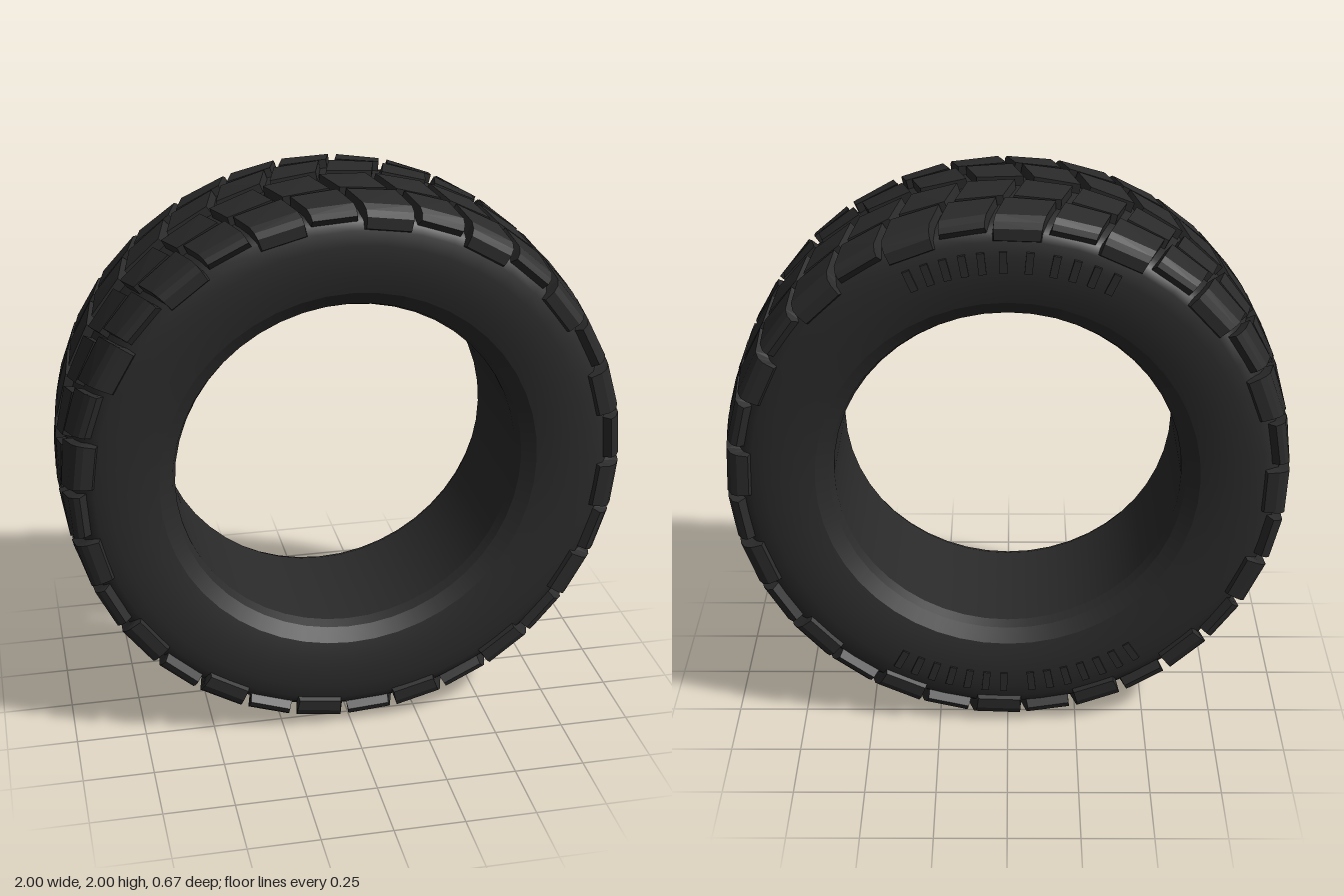
import * as THREE from 'three';
import { mergeGeometries } from 'three/addons/utils/BufferGeometryUtils.js';

const PITCH = (Math.PI * 2) / 32; // 32 tread blocks per row
const SHEAR = 0.27;               // chevron slant of the block edges
const deg = THREE.MathUtils.degToRad;

// One tread block lofted across the width. Each station is [rTop, zTop, rBase, zBase].
function block(stations, angle, width, side) {
  const rings = stations.map(([rt, zt, rb, zb]) => {
    const mid = angle - SHEAR * zt;
    const p = (r, z, a) => [r * Math.cos(a), r * Math.sin(a), z * side];
    const h = width / 2;
    return [
      p(rt, zt, mid - h), p(rt, zt, mid + h),
      p(rb, zb, mid + h + 0.006), p(rb, zb, mid - h - 0.006),
    ];
  });
  const pos = [];
  const tri = (a, b, c) => (side > 0 ? pos.push(...a, ...b, ...c) : pos.push(...a, ...c, ...b));
  const quad = (a, b, c, d) => { tri(a, b, c); tri(a, c, d); };
  for (let i = 0; i < rings.length - 1; i++) {
    for (let j = 0; j < 4; j++) {
      const k = (j + 1) % 4;
      quad(rings[i][j], rings[i][k], rings[i + 1][k], rings[i + 1][j]);
    }
  }
  const s = rings[0], e = rings[rings.length - 1];
  quad(s[3], s[2], s[1], s[0]);
  quad(e[0], e[1], e[2], e[3]);
  const g = new THREE.BufferGeometry();
  g.setAttribute('position', new THREE.Float32BufferAttribute(pos, 3));
  g.computeVertexNormals();
  return g;
}

const CENTRE = [
  [1.0, 0.016, 0.955, 0.016],
  [0.994, 0.165, 0.95, 0.165],
];
const SHOULDER = [
  [0.993, 0.178, 0.95, 0.178],
  [0.978, 0.295, 0.93, 0.28],
  [0.962, 0.318, 0.92, 0.295],
  [0.942, 0.326, 0.915, 0.302],
];
const LUG = [
  [0.993, 0.178, 0.95, 0.178],
  [0.978, 0.297, 0.93, 0.28],
  [0.962, 0.322, 0.92, 0.295],
  [0.94, 0.332, 0.91, 0.302],
  [0.9, 0.333, 0.89, 0.31],
];

export function createModel() {
  const model = new THREE.Group();
  const rubber = new THREE.MeshStandardMaterial({ color: 0x2a2a2a });
  rubber.name = 'black rubber';
  const tyre = new THREE.Group();
  tyre.name = 'tyre';
  tyre.position.y = 1;
  model.add(tyre);

  const add = (geometry, name) => {
    const mesh = new THREE.Mesh(geometry, rubber);
    mesh.name = name;
    tyre.add(mesh);
    return mesh;
  };
  const ring = (points, name) => {
    const g = new THREE.LatheGeometry(points.map(([r, z]) => new THREE.Vector2(r, z)), 48);
    add(g.rotateX(Math.PI / 2), name);
  };

  // Carcass: bulging sidewalls and tread base, running from back bead to front bead
  const half = [
    [0.965, 0.1], [0.96, 0.2], [0.945, 0.27], [0.92, 0.304], [0.89, 0.318],
    [0.84, 0.326], [0.78, 0.327], [0.72, 0.32], [0.67, 0.307],
  ];
  const mirrored = half.map(([r, z]) => [r, -z]).reverse();
  ring([...mirrored, [0.967, 0], ...half], 'carcass');

  // Bead bevels and the open bore
  ring([[0.67, 0.307], [0.622, 0.275]], 'frontBead');
  ring([[0.622, 0.275], [0.608, 0.24]], 'frontBeadLip');
  ring([[0.608, 0.24], [0.608, -0.24]], 'innerBore');
  ring([[0.608, -0.24], [0.622, -0.275]], 'backBeadLip');
  ring([[0.622, -0.275], [0.67, -0.307]], 'backBead');

  // Tread: centre and shoulder rows on each side, every second shoulder block a side lug
  for (const side of [1, -1]) {
    const label = side > 0 ? 'front' : 'back';
    const start = deg(15) + SHEAR * 0.33 + (side > 0 ? 0 : PITCH - 0.03);
    const centre = [], shoulder = [], lugs = [];
    for (let i = 0; i < 32; i++) {
      const a = start + i * PITCH;
      centre.push(block(CENTRE, a + 0.02, 0.16, side));
      if (i % 2) shoulder.push(block(SHOULDER, a, 0.16, side));
      else lugs.push(block(LUG, a, 0.17, side));
    }
    add(mergeGeometries(centre), label + 'CentreBlocks');
    add(mergeGeometries(shoulder), label + 'ShoulderBlocks');
    add(mergeGeometries(lugs), label + 'SideLugs');
  }

  // Raised ribs on the back sidewall: [first angle, last angle, count], seen clockwise from the back
  const ribGroups = [
    [113, 96, 5], [91, 85, 2], [79, 65, 4],
    [242, 269, 7], [276, 303, 7],
  ];
  const ribs = [];
  for (const [from, to, count] of ribGroups) {
    for (let i = 0; i < count; i++) {
      const a = deg(180 - (from + ((to - from) * i) / (count - 1)));
      const g = new THREE.BoxGeometry(0.075, 0.026, 0.016);
      g.translate(0.82, 0, -0.326).rotateZ(a);
      ribs.push(g);
    }
  }
  add(mergeGeometries(ribs), 'sidewallRibs');

  return model;
}
